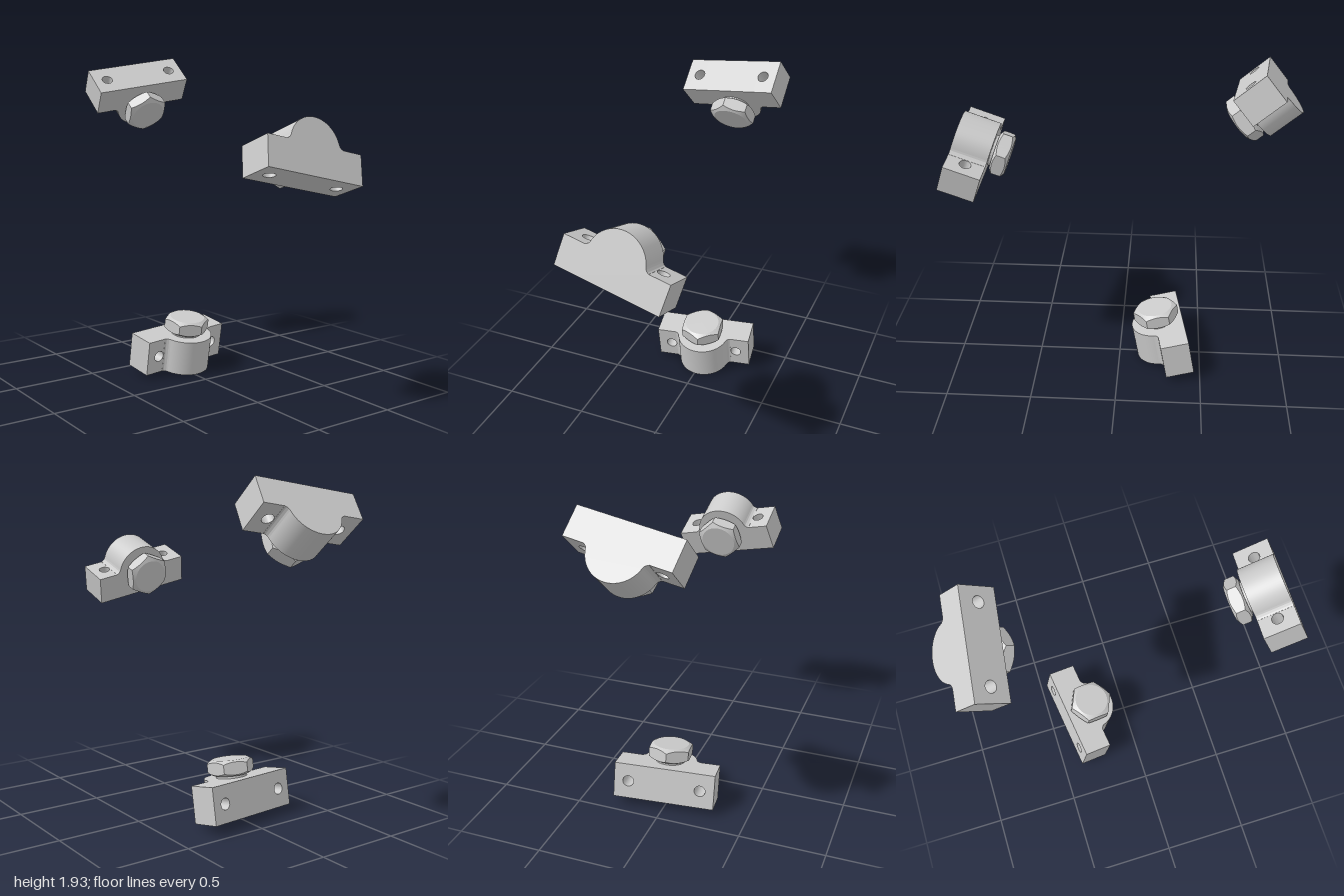
import * as THREE from 'three';
import { toCreasedNormals } from 'three/addons/utils/BufferGeometryUtils.js';

const material = new THREE.MeshStandardMaterial({ color: 0xcccccc });
const HEIGHT = 0.213, BACK = -0.155, FRONT = 0.015; // bar height and z range
const BOSS_R = 0.16, FILLET = 0.035, HALF = 0.3, SPLIT = 0.18;
const rad = THREE.MathUtils.degToRad;

function mesh(name, geometry, crease = 0.5) {
  const m = new THREE.Mesh(toCreasedNormals(geometry, crease), material);
  m.name = name;
  return m;
}

// Middle of the bar with the rounded boss and its fillets, extruded downwards
function bossGeometry() {
  const fz = FRONT + FILLET;
  const fx = Math.sqrt((BOSS_R + FILLET) ** 2 - fz ** 2);
  const tangent = Math.atan2(fz, fx);
  const end = Math.acos((fx - SPLIT) / FILLET);
  const s = new THREE.Shape();
  s.moveTo(-SPLIT, BACK);
  s.lineTo(SPLIT, BACK);
  s.absarc(fx, fz, FILLET, Math.PI + end, Math.PI + tangent, true);
  s.absarc(0, 0, BOSS_R, tangent, Math.PI - tangent, false);
  s.absarc(-fx, fz, FILLET, -tangent, -end, true);
  s.closePath();
  const g = new THREE.ExtrudeGeometry(s, { depth: HEIGHT, bevelEnabled: false, curveSegments: 16 });
  return g.rotateX(Math.PI / 2);
}

// Bar end with a hole running from front to back
function lugGeometry(side) {
  const a = side * SPLIT, b = side * HALF;
  const s = new THREE.Shape([
    new THREE.Vector2(Math.min(a, b), -HEIGHT), new THREE.Vector2(Math.max(a, b), -HEIGHT),
    new THREE.Vector2(Math.max(a, b), 0), new THREE.Vector2(Math.min(a, b), 0),
  ]);
  const hole = new THREE.Path();
  hole.absarc(side * 0.215, -HEIGHT / 2, 0.033, 0, Math.PI * 2, true);
  s.holes.push(hole);
  const g = new THREE.ExtrudeGeometry(s, { depth: FRONT - BACK, bevelEnabled: false, curveSegments: 12 });
  return g.translate(0, 0, BACK);
}

// Hexagonal head with conical chamfers on both faces, corners on the z axis
function hexHeadGeometry(bottom, top) {
  const n = 48, corner = 0.137, flat = 0.104, slope = 0.6;
  const apothem = corner * Math.cos(Math.PI / 6);
  const pos = [], index = [];
  for (let i = 0; i < n; i++) {
    const a = (i / n) * Math.PI * 2;
    const off = (a % (Math.PI / 3)) - Math.PI / 6;
    const r = apothem / Math.cos(off);
    const drop = (r - flat) * slope;
    const rings = [[0, bottom], [flat, bottom], [r, bottom + drop], [r, top - drop], [flat, top], [0, top]];
    for (const [q, y] of rings) pos.push(q * Math.sin(a), y, q * Math.cos(a));
    for (let k = 0; k < 5; k++) {
      const p = i * 6 + k, q = ((i + 1) % n) * 6 + k;
      if (k > 0) index.push(p, q, p + 1);
      if (k < 4) index.push(q, q + 1, p + 1);
      else continue;
    }
  }
  // the first band needs only its outer triangle, the last only its inner one
  const g = new THREE.BufferGeometry();
  g.setAttribute('position', new THREE.Float32BufferAttribute(pos, 3));
  g.setIndex(index);
  return g;
}

function clampUnit() {
  const unit = new THREE.Group();
  unit.add(mesh('mountingBlockBoss', bossGeometry()));
  for (const side of [-1, 1]) unit.add(mesh(side > 0 ? 'leftLug' : 'rightLug', lugGeometry(side)));
  const shank = mesh('boltShank', new THREE.CylinderGeometry(0.09, 0.09, 0.05, 32));
  shank.position.y = 0.005;
  unit.add(shank, mesh('hexBoltHead', hexHeadGeometry(0.015, 0.106), 0.35));
  return unit;
}

export function createModel() {
  const model = new THREE.Group();
  model.name = 'threeJawSet';
  // Three units spaced around the x axis, bolts pointing inwards
  const tilts = [7.8, 11, 13];
  tilts.forEach((tilt, i) => {
    const arm = new THREE.Group();
    arm.name = `jaw${i + 1}`;
    arm.position.set(0.013, 1.082, -0.08);
    arm.rotation.x = rad(10.3 + 120 * i);
    const unit = clampUnit();
    unit.name = 'jawUnit';
    unit.position.y = -0.856;
    unit.rotation.y = rad(tilt);
    arm.add(unit);
    model.add(arm);
  });
  return model;
}
